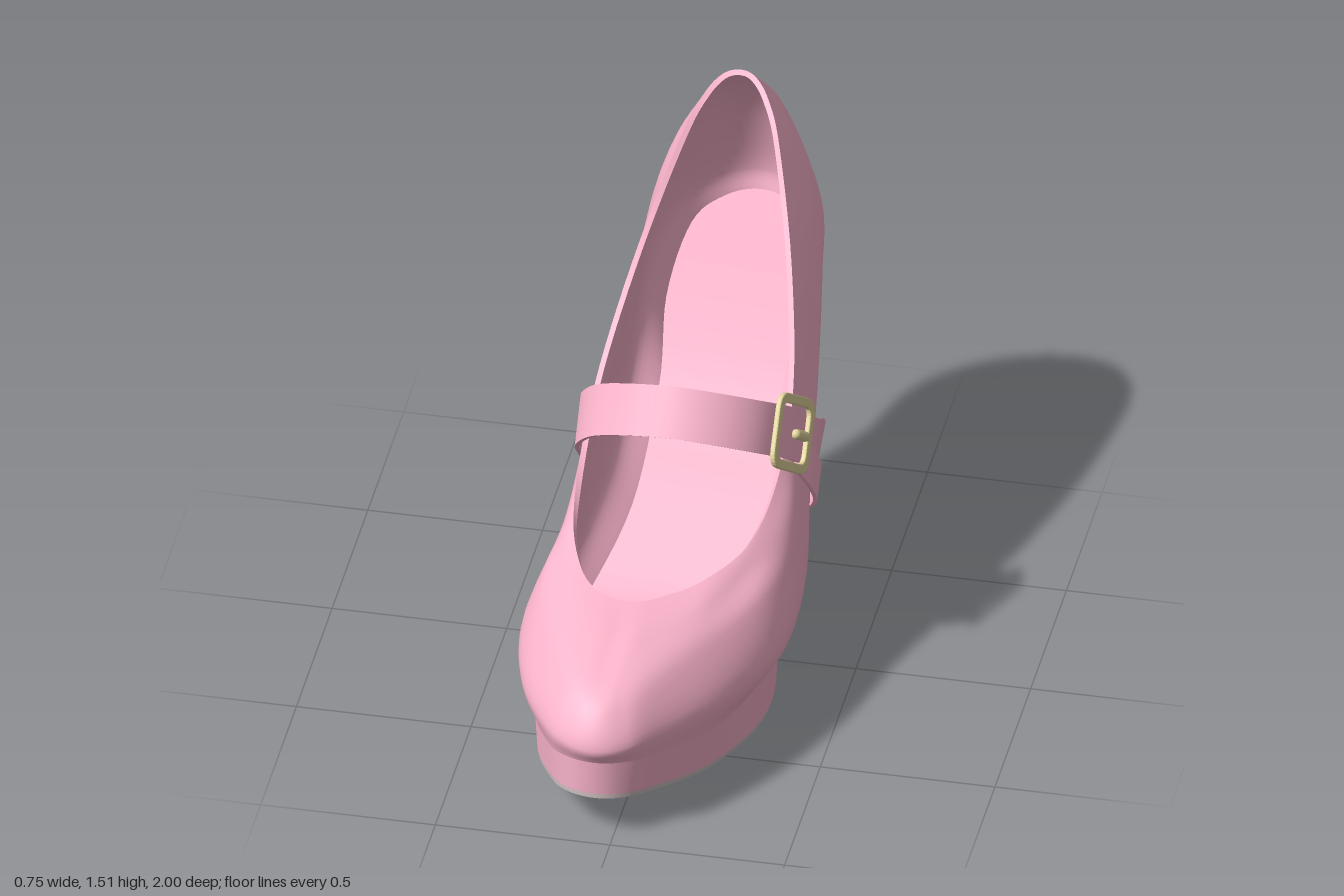
import * as THREE from 'three';
import { toCreasedNormals } from 'three/addons/utils/BufferGeometryUtils.js';

const V = (x, y, z) => new THREE.Vector3(x, y, z);
const mat = (color) => new THREE.MeshStandardMaterial({ color, side: THREE.DoubleSide });
const N = 132; // points around each ring

// Ring rows run toe to heel: [z, y, x on the inner side, x on the outer side]
const FEATHER = [[.98, .25, -.05], [.955, .245, -.13, .025], [.88, .23, -.2, .1], [.66, .19, -.285, .225],
  [.35, .16, -.31, .3], [.1, .185, -.25, .3], [-.12, .36, -.16, .24], [-.35, .6, -.13, .2],
  [-.6, .735, -.17, .23], [-.85, .838, -.15, .205], [-.95, .878, -.075, .135], [-.985, .89, .03]];
const BULGE = [[1, .3, -.05], [.975, .305, -.13, .03], [.9, .31, -.205, .1], [.67, .29, -.32, .245],
  [.38, .27, -.375, .355], [.1, .3, -.31, .37], [-.12, .48, -.235, .34], [-.35, .72, -.22, .315],
  [-.6, .9, -.225, .28], [-.83, .95, -.185, .235], [-.955, .965, -.085, .145], [-1, .97, .03]];
const SHOULDER = [[.93, .41, -.05], [.905, .415, -.11, .005], [.835, .42, -.17, .07], [.63, .425, -.255, .18],
  [.36, .43, -.33, .3], [.1, .46, -.3, .36], [-.1, .66, -.26, .33], [-.34, .92, -.22, .3],
  [-.6, 1.12, -.2, .26], [-.77, 1.19, -.145, .2], [-.89, 1.2, -.065, .12], [-.925, 1.2, .03]];
const VAMP = [[.74, .47, -.05], [.72, .475, -.1, 0], [.66, .475, -.155, .055], [.52, .475, -.225, .155],
  [.3, .485, -.29, .255], [.1, .56, -.29, .335], [-.1, .76, -.255, .315], [-.33, 1.04, -.205, .275],
  [-.58, 1.27, -.155, .215], [-.71, 1.35, -.1, .155], [-.795, 1.37, -.045, .1], [-.82, 1.37, .03]];
const TOPLINE = [[.53, .5, -.05], [.52, .5, -.1, 0], [.485, .5, -.15, .05], [.4, .505, -.205, .14],
  [.24, .535, -.26, .24], [.08, .65, -.275, .29], [-.1, .85, -.255, .3], [-.32, 1.12, -.19, .25],
  [-.54, 1.36, -.11, .17], [-.63, 1.445, -.065, .122], [-.677, 1.488, -.02, .076], [-.69, 1.5, .03]];
const TREAD = [[.975, .142, -.05], [.95, .137, -.13, .025], [.87, .118, -.195, .095], [.65, .065, -.28, .215],
  [.34, .02, -.3, .3], [.08, .018, -.24, .29], [-.055, .17, -.15, .23], [-.3, .54, -.12, .19],
  [-.56, .7, -.15, .21], [-.8, .8, -.12, .18], [-.9, .84, -.06, .11], [-.94, .86, .03]];

// Closed smooth ring: toe, outer side, heel, inner side
function ring(rows) {
  const outer = rows.map(r => V(r[3] ?? r[2], r[1], r[0]));
  const inner = rows.slice(1, -1).map(r => V(r[2], r[1], r[0])).reverse();
  const curve = new THREE.CatmullRomCurve3([...outer, ...inner], true, 'catmullrom', .5);
  return Array.from({ length: N }, (_, i) => curve.getPoint(i / N));
}

// Smooth in-between rings across a stack of rings
function blend(rings, steps) {
  const curves = rings[0].map((_, i) => new THREE.CatmullRomCurve3(rings.map(r => r[i])));
  return Array.from({ length: steps + 1 }, (_, j) => curves.map(c => c.getPoint(j / steps)));
}

// Skin over closed loops of points
function skin(loops, flip = false) {
  const n = loops[0].length, idx = [];
  for (let j = 0; j < loops.length - 1; j++) for (let i = 0; i < n; i++) {
    const k = (i + 1) % n, a = j * n + i, b = j * n + k, c = b + n, d = a + n;
    idx.push(...(flip ? [a, c, b, a, d, c] : [a, b, c, a, c, d]));
  }
  const g = new THREE.BufferGeometry().setFromPoints(loops.flat());
  g.setIndex(idx);
  g.computeVertexNormals();
  return g;
}

// Cover joining the two sides of a ring
function cover(loop, up) {
  const n = loop.length, idx = [];
  for (let i = 0; i < n / 2; i++) {
    const a = i, b = i + 1, c = n - i - 1, d = (n - i) % n;
    idx.push(...(up ? [a, b, c, a, c, d] : [a, c, b, a, d, c]));
  }
  const g = new THREE.BufferGeometry().setFromPoints(loop);
  g.setIndex(idx);
  g.computeVertexNormals();
  return g;
}

// Flat band swept along points; its half width turns into endHalf over the last quarter
function band(points, half, endHalf, segs) {
  const curve = new THREE.CatmullRomCurve3(points);
  const loops = [];
  for (let i = 0; i <= segs; i++) {
    const t = i / segs, p = curve.getPoint(t);
    const w = half.clone().lerp(endHalf, Math.max(0, t * 4 - 3));
    const out = curve.getTangent(t).cross(w).setLength(.006);
    loops.push([[1, 1], [1, -1], [-1, -1], [-1, 1]].map(([s, o]) =>
      p.clone().addScaledVector(w, s).addScaledVector(out, o)));
  }
  const g = skin(loops), e = segs * 4;
  g.setIndex([...g.index.array, 0, 2, 1, 0, 3, 2, e, e + 1, e + 2, e, e + 2, e + 3]);
  return toCreasedNormals(g, .7);
}

// Heel level: flat breast in front, rounded back
function heelLevel([zf, yf, zb, yb, hw]) {
  const pts = [];
  for (let i = 0; i <= 32; i++) {
    const a = Math.PI * i / 32, c = Math.cos(a), t = Math.pow(Math.abs(Math.sin(a)), .85);
    pts.push(V(.03 + hw * Math.sign(c) * Math.pow(Math.abs(c), .65), yf + (yb - yf) * t, zf + (zb - zf) * t));
  }
  for (let i = 1; i < 8; i++) pts.push(V(.03 - hw + 2 * hw * i / 8, yf, zf));
  return pts;
}

function roundedRect(Type, w, h, r) {
  const s = new Type(), x = w / 2, y = h / 2;
  s.moveTo(-x + r, -y);
  s.lineTo(x - r, -y); s.quadraticCurveTo(x, -y, x, -y + r);
  s.lineTo(x, y - r); s.quadraticCurveTo(x, y, x - r, y);
  s.lineTo(-x + r, y); s.quadraticCurveTo(-x, y, -x, y - r);
  s.lineTo(-x, -y + r); s.quadraticCurveTo(-x, -y, -x + r, -y);
  return s;
}

export function createModel() {
  const shoe = new THREE.Group();
  shoe.name = 'shoe';
  const pink = mat(0xfcb5cc), grey = mat(0xd2c3c3), brass = mat(0xe2d49c);
  const add = (name, geo, m, parent = shoe) => {
    const mesh = new THREE.Mesh(geo, m);
    mesh.name = name;
    parent.add(mesh);
    return mesh;
  };

  // Upper with lining, rim and insole
  const outer = blend([FEATHER, BULGE, SHOULDER, VAMP, TOPLINE].map(ring), 24);
  const upper = skin(outer);
  const nrm = upper.attributes.normal;
  const inner = outer.map((loop, j) => loop.map((p, i) =>
    p.clone().addScaledVector(V().fromBufferAttribute(nrm, j * N + i), -.016)));
  add('upper', upper, pink);
  add('lining', skin(inner, true), pink);
  add('rim', skin([outer[24], inner[24]]), pink);
  add('insole', cover(inner[1], true), pink);

  // Platform and outsole
  const feather = ring(FEATHER), tread = ring(TREAD);
  const ground = tread.map(p => V(p.x * .99, p.y - .014, p.z));
  add('platform', skin(blend([tread, feather], 4)), pink);
  add('outsoleEdge', skin([ground, tread]), grey);
  add('outsole', cover(ground, false), grey);

  // Heel and its tip
  const levels = [[-.645, .05, -.755, .05, .058], [-.643, .2, -.787, .2, .064], [-.64, .4, -.835, .42, .082],
    [-.632, .6, -.91, .68, .125], [-.61, .67, -.955, .8, .162], [-.565, .72, -.988, .893, .204]].map(heelLevel);
  add('heel', toCreasedNormals(skin(blend(levels, 24)), .8), pink);
  const foot = levels[0].map(p => V(p.x, 0, p.z));
  const tip = new THREE.Shape(foot.map(p => new THREE.Vector2(p.x, -p.z)));
  const tipGeo = new THREE.ExtrudeGeometry(tip, { depth: .05, bevelEnabled: false }).rotateX(-Math.PI / 2);
  add('heelTip', tipGeo, grey);

  // Instep strap with free tail, and the short anchor beneath it
  const half = V(0, .06, -.042);
  add('strap', band([V(-.16, .41, -.2), V(-.225, .48, -.16), V(-.264, .58, -.1), V(-.283, .7, -.005), V(-.275, .78, .07),
    V(-.215, .87, .15), V(-.1, .935, .22), V(.03, .955, .24), V(.15, .935, .22), V(.25, .885, .16),
    V(.318, .8, .05), V(.35, .69, -.08), V(.346, .59, -.23), V(.315, .472, -.39)], half, V(0, .032, -.058), 72), pink);
  add('strapAnchor', band([V(.335, .71, .01), V(.366, .6, -.06), V(.357, .5, -.135), V(.275, .41, -.18)],
    V(0, .04, -.03), V(0, .015, -.03), 16), pink);

  // Buckle frame and prong
  const buckle = new THREE.Group();
  buckle.name = 'buckle';
  const along = V(.27, -.6, -.75).normalize(), across = V(0, .78, -.624).normalize();
  buckle.quaternion.setFromRotationMatrix(new THREE.Matrix4().makeBasis(along, across, along.clone().cross(across)));
  buckle.position.set(.325, .8, .05);
  const frame = roundedRect(THREE.Shape, .235, .215, .05);
  frame.holes.push(roundedRect(THREE.Path, .18, .16, .03));
  add('buckleFrame', new THREE.ExtrudeGeometry(frame, { depth: .008, bevelSize: .004, bevelThickness: .004,
    bevelOffset: -.004, bevelSegments: 2, curveSegments: 6 }), brass, buckle);
  const prong = add('prong', new THREE.CapsuleGeometry(.015, .06, 4, 10), brass, buckle);
  prong.rotation.z = Math.PI / 2;
  prong.position.set(.05, 0, .006);
  shoe.add(buckle);
  return shoe;
}
